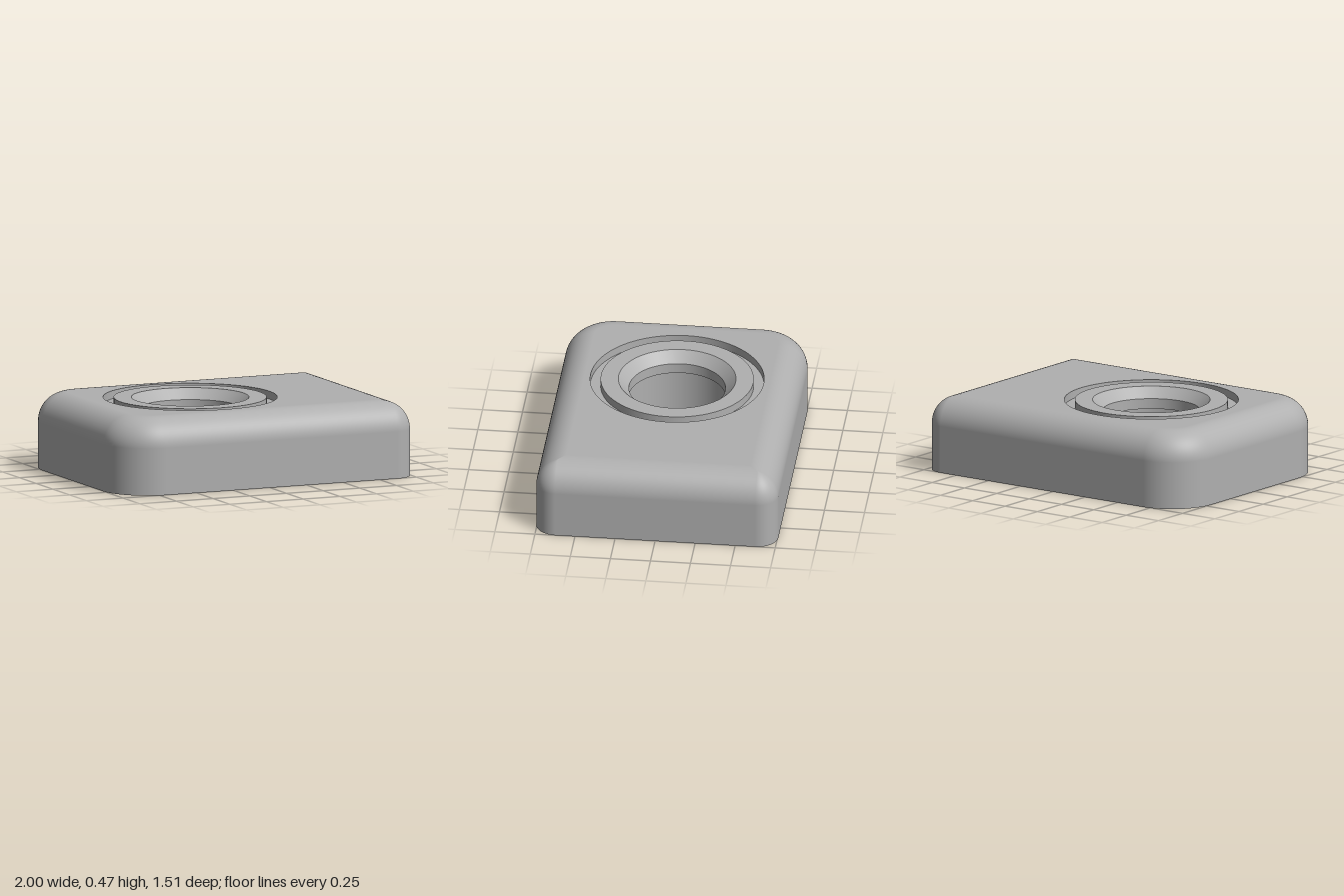
import * as THREE from 'three';

const HALF_X = 1, HALF_Z = 0.755, H = 0.475, FILLET = 0.18;
const BORE_X = -0.2, SEG = 96;

// Corner signs and radii, in order of rising angle
const CORNERS = [[1, 1, 0.13], [-1, 1, 0.3], [-1, -1, 0.3], [1, -1, 0.13]];
const STEPS = 16;

// Rounded outline moved inwards by d; each point keeps its outward angle
function outline(d) {
  const pts = [];
  CORNERS.forEach(([sx, sz, radius], q) => {
    const r = Math.max(radius - d, 0);
    for (let k = 0; k <= STEPS; k++) {
      const a = (q + k / STEPS) * Math.PI / 2;
      pts.push({
        x: sx * (HALF_X - d - r) + r * Math.cos(a),
        z: sz * (HALF_Z - d - r) + r * Math.sin(a),
        a,
      });
    }
  });
  return pts;
}

// Straight side walls running into the rounded top edge
function shellGeometry() {
  const rows = [{ d: 0, y: 0, p: 0 }];
  for (let i = 0; i <= 16; i++) {
    const p = i / 16 * Math.PI / 2;
    rows.push({ d: FILLET * (1 - Math.cos(p)), y: H - FILLET * (1 - Math.sin(p)), p });
  }
  const pos = [], nor = [], idx = [];
  const n = CORNERS.length * (STEPS + 1);
  rows.forEach(({ d, y, p }, i) => {
    outline(d).forEach(({ x, z, a }, j) => {
      pos.push(x, y, z);
      nor.push(Math.cos(a) * Math.cos(p), Math.sin(p), Math.sin(a) * Math.cos(p));
      if (i === rows.length - 1) return;
      const a0 = i * n + j, b0 = i * n + (j + 1) % n;
      idx.push(a0, a0 + n, b0, b0, a0 + n, b0 + n);
    });
  });
  const g = new THREE.BufferGeometry();
  g.setAttribute('position', new THREE.Float32BufferAttribute(pos, 3));
  g.setAttribute('normal', new THREE.Float32BufferAttribute(nor, 3));
  g.setIndex(idx);
  return g;
}

// Flat face with a round opening
function faceGeometry(inset, holeRadius, y, up) {
  const shape = new THREE.Shape(outline(inset).map(({ x, z }) => new THREE.Vector2(x, z)));
  const hole = [];
  for (let i = 0; i < SEG; i++) {
    const a = i / SEG * Math.PI * 2;
    hole.push(new THREE.Vector2(BORE_X + holeRadius * Math.cos(a), holeRadius * Math.sin(a)));
  }
  shape.holes.push(new THREE.Path(hole));
  const g = new THREE.ShapeGeometry(shape);
  g.rotateX(up ? -Math.PI / 2 : Math.PI / 2);
  g.translate(0, y, 0);
  return g;
}

export function createModel() {
  const model = new THREE.Group();
  model.name = 'boredBlock';
  const grey = new THREE.MeshStandardMaterial({ color: 0xb0b0b0 });
  grey.name = 'grey';

  const add = (name, geometry, parent = model) => {
    const mesh = new THREE.Mesh(geometry, grey);
    mesh.name = name;
    parent.add(mesh);
    return mesh;
  };

  add('roundedSides', shellGeometry());
  add('topFace', faceGeometry(FILLET, 0.54, H, true));
  add('bottomFace', faceGeometry(0, 0.355, 0, false));

  // Groove, raised ring, countersink, neck and wider lower bore
  const bore = new THREE.Group();
  bore.name = 'bore';
  bore.position.x = BORE_X;
  model.add(bore);
  const grooveY = H - 0.05, sinkY = H - 0.065, neckY = H - 0.13;
  const profile = [
    [0.54, H], [0.54, grooveY, 'grooveOuterWall'], [0.475, grooveY, 'grooveFloor'],
    [0.475, H, 'grooveInnerWall'], [0.365, H, 'ringTop'], [0.3, sinkY, 'countersink'],
    [0.3, neckY, 'neck'], [0.355, neckY, 'ledge'], [0.355, 0, 'lowerBore'],
  ];
  // One ring per step keeps the edges sharp
  for (let i = 1; i < profile.length; i++) {
    const ends = [profile[i - 1], profile[i]].map(([r, y]) => new THREE.Vector2(r, y));
    add(profile[i][2], new THREE.LatheGeometry(ends, SEG), bore);
  }
  return model;
}
